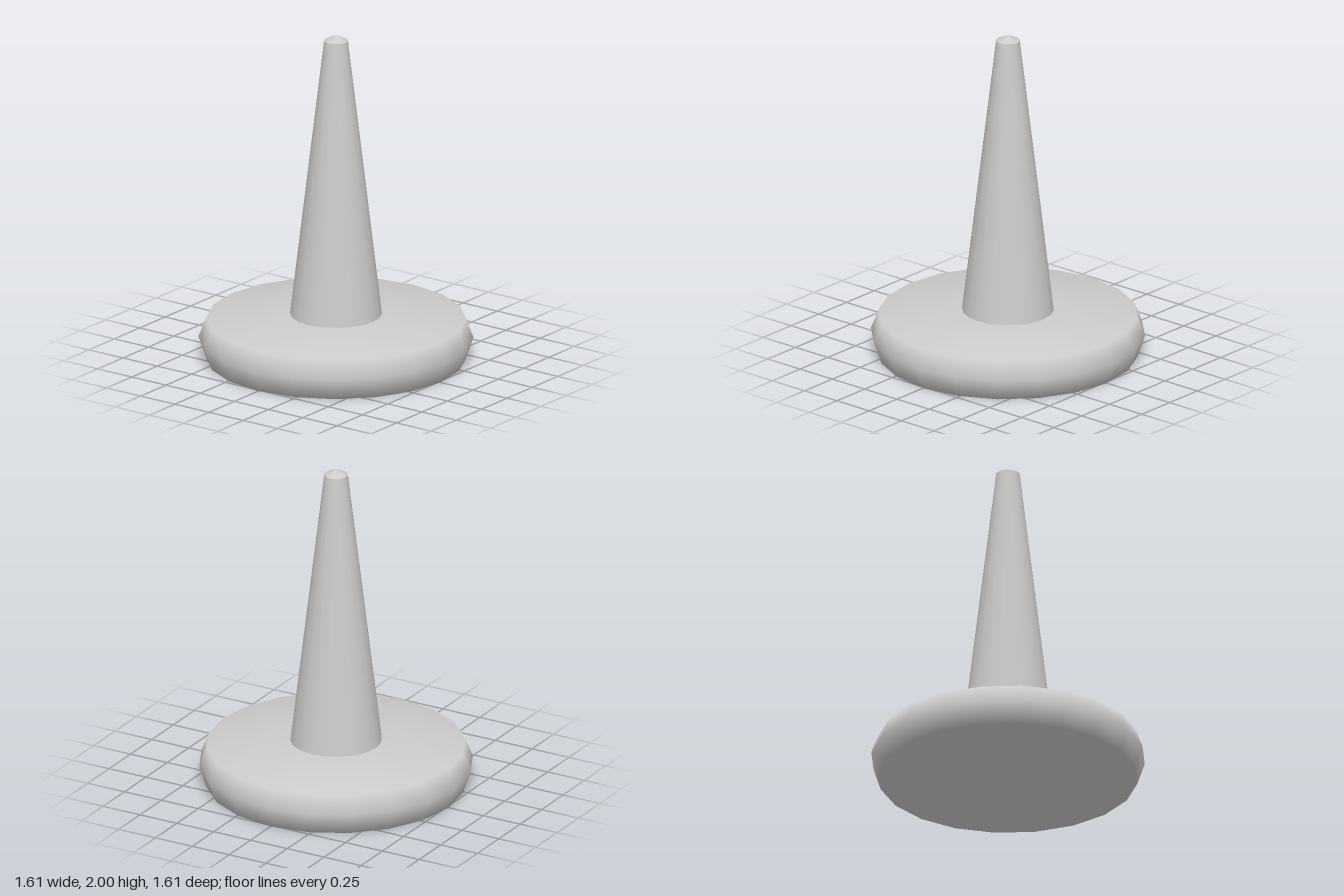
import * as THREE from 'three';

const SIDES = 20;

// Turns a [radius, height] profile, listed from bottom to top, about the y axis.
function turned(name, profile, material) {
  const points = profile.map(([r, y]) => new THREE.Vector2(r, y));
  const mesh = new THREE.Mesh(new THREE.LatheGeometry(points, SIDES), material);
  mesh.name = name;
  return mesh;
}

export function createModel() {
  const group = new THREE.Group();
  group.name = 'coneOnBase';
  const material = new THREE.MeshStandardMaterial({ color: 0xcccccc });

  // Round base with a bulging rim and a gently sloping top
  group.add(turned('base', [[0, 0], [0.763, 0], [0.807, 0.13], [0.763, 0.245], [0.27, 0.275]], material));

  // Tall tapering shaft
  group.add(turned('shaft', [[0.27, 0.275], [0.07, 1.965]], material));

  // Low pointed cap
  group.add(turned('tip', [[0.07, 1.965], [0, 2]], material));

  return group;
}
